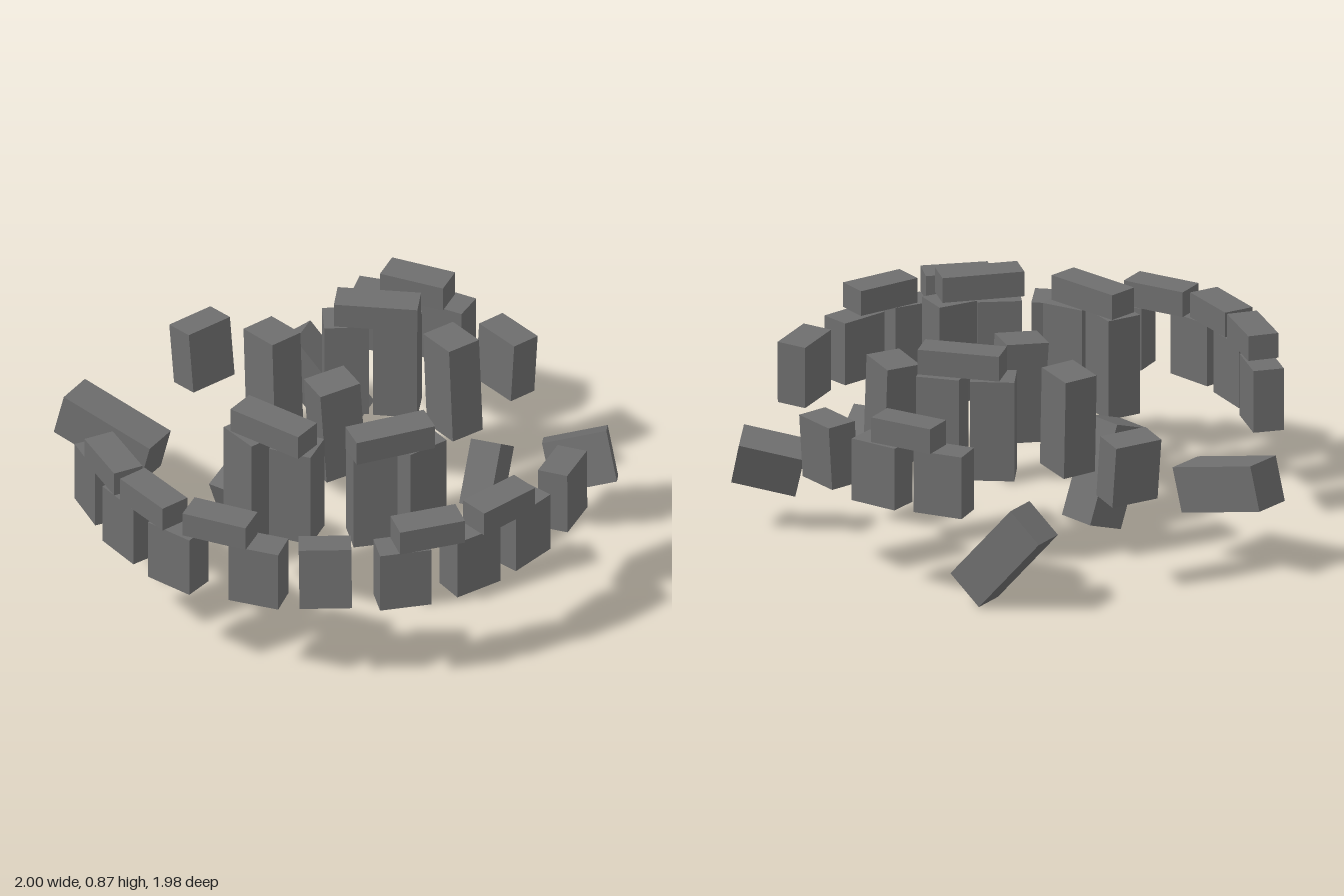
import * as THREE from 'three';

export function createModel() {
  const model = new THREE.Group();
  model.name = 'stoneCircle';
  const stone = new THREE.MeshStandardMaterial({ color: 0x6e6e6e });
  stone.name = 'grey stone';

  // One block: size [side, long axis, thickness], oriented by its long axis and side direction
  function block(name, size, center, side, up = [0, 1, 0]) {
    const y = new THREE.Vector3(...up).normalize();
    const x = new THREE.Vector3(...side);
    x.addScaledVector(y, -x.dot(y)).normalize();
    const z = new THREE.Vector3().crossVectors(x, y);
    const mesh = new THREE.Mesh(new THREE.BoxGeometry(...size), stone);
    mesh.quaternion.setFromRotationMatrix(new THREE.Matrix4().makeBasis(x, y, z));
    mesh.position.set(...center);
    mesh.name = name;
    model.add(mesh);
  }

  // Rows are x, z, side x, side z, then an optional lean in x and z
  const outer = [
    [-0.87, -0.34, -0.25, 0.97],
    [-0.935, -0.06, -0.02, 1],
    [-0.92, 0.22, 0.25, 0.97],
    [-0.75, 0.5, 0.55, 0.83],
    [-0.56, 0.67, 0.8, 0.6, 0.06, -0.1],
    [-0.325, 0.845, 0.9, 0.42],
    [-0.05, 0.91, 1, 0.05],
    [0.218, 0.88, 0.97, -0.2],
    [0.5, 0.77, 0.86, -0.51, 0.03, -0.05],
    [0.87, -0.065, 0.08, 1, 0.05, 0.02],
    [0.81, -0.37, 0.42, 0.9],
    [0.66, -0.58, 0.6, 0.8],
    [-0.02, -0.81, 1, -0.02, 0, -0.12],
  ];
  outer.forEach(([x, z, sx, sz, lx = 0, lz = 0]) =>
    block('outerUpright', [0.2, 0.25, 0.12], [x, 0.505, z], [sx, 0, sz], [lx, 1, lz]));

  const outerLintels = [
    [-0.91, -0.2, -0.2, 0.98],
    [-0.935, 0.085, 0.02, 1],
    [-0.835, 0.37, 0.5, 0.87],
    [-0.23, 0.88, 0.94, 0.33],
    [0.085, 0.915, 1, -0.08],
    [0.745, -0.46, 0.5, 0.87],
  ];
  outerLintels.forEach(([x, z, sx, sz]) =>
    block('outerLintel', [0.26, 0.1, 0.12], [x, 0.68, z], [sx, 0, sz]));

  // Tall inner horseshoe
  const inner = [
    [0.3, -0.33, 0.83, 0.55],
    [0.45, -0.2, 0.71, 0.71],
    [-0.445, 0.06, 0.02, 1],
    [-0.365, 0.235, 0.5, 0.85],
    [-0.155, 0.43, 0.9, 0.42],
    [0.02, 0.49, 1, 0.02],
    [0.02, -0.415, 0.05, 1, 0.02, -0.07],
    [0.01, -0.015, 0.98, 0.18, -0.06, -0.02],
    [0.54, 0.03, -0.03, 1, 0, -0.06],
  ];
  inner.forEach(([x, z, sx, sz, lx = 0, lz = 0]) =>
    block('innerUpright', [0.17, 0.4, 0.14], [x, 0.58, z], [sx, 0, sz], [lx, 1, lz]));

  const innerLintels = [
    [0.385, -0.24, 0.72, 0.7],
    [-0.41, 0.15, 0.28, 0.96],
    [-0.1, 0.475, 0.96, 0.28],
  ];
  innerLintels.forEach(([x, z, sx, sz]) =>
    block('innerLintel', [0.32, 0.1, 0.12], [x, 0.83, z], [sx, 0, sz]));

  // Toppled and sunken stones
  block('fallenOuterStone', [0.2, 0.25, 0.12], [0.855, 0.3, 0.415], [0.02, 0.18, -0.085], [0.2, 0.05, 0.14]);
  block('fallenOuterStone', [0.2, 0.25, 0.12], [0.487, 0.325, 0.31], [0.66, -0.58, -0.46], [0.48, 0.81, -0.33]);
  block('fallenTallStone', [0.18, 0.4, 0.15], [-0.28, 0.235, -0.17], [0.9, 0.3, -0.27], [-0.33, 0.94, 0.06]);
  block('fallenTallStone', [0.15, 0.4, 0.18], [-0.48, 0.34, -0.77], [0.91, 0, -0.4], [-0.33, 0.24, -0.91]);
  block('fallenTallStone', [0.14, 0.4, 0.17], [0.475, 0.215, -0.72], [0.88, 0, -0.47], [-0.33, 0.75, -0.57]);

  return model;
}
